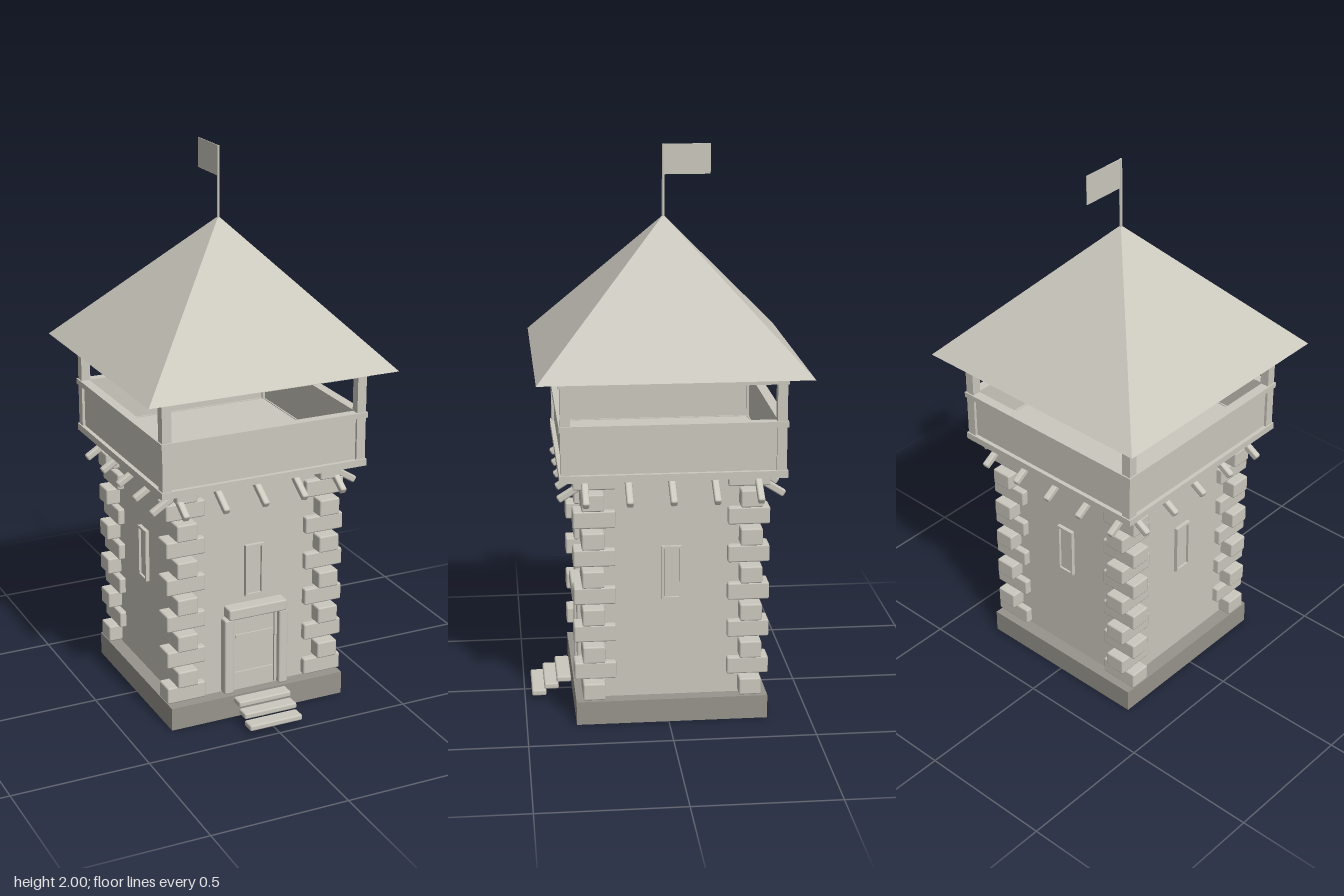
import * as THREE from 'three';
import { RoundedBoxGeometry } from 'three/addons/geometries/RoundedBoxGeometry.js';

export function createModel() {
  const stone = new THREE.MeshStandardMaterial({ color: 0xcbc8be });
  stone.name = 'paleStone';
  const dark = new THREE.MeshStandardMaterial({ color: 0x96948c });
  dark.name = 'darkStone';

  const model = new THREE.Group();
  const tower = new THREE.Group();
  tower.name = 'tower';
  tower.position.z = -0.0125;
  model.add(tower);

  const add = (parent, name, geometry, x, y, z, material = stone) => {
    const mesh = new THREE.Mesh(geometry, material);
    mesh.name = name;
    mesh.position.set(x, y, z);
    parent.add(mesh);
    return mesh;
  };
  const box = (parent, name, w, h, d, x, y, z, material) =>
    add(parent, name, new THREE.BoxGeometry(w, h, d), x, y, z, material);
  const block = (parent, name, w, h, d, x, y, z) =>
    add(parent, name, new RoundedBoxGeometry(w, h, d, 1, 0.006), x, y, z);

  // Plinth and shaft
  box(tower, 'plinth', 0.676, 0.085, 0.676, 0, 0.0475, 0, dark);
  box(tower, 'walls', 0.58, 0.84, 0.58, 0, 0.5, 0);

  // Corner stones, alternately long in x and long in z
  for (let row = 0; row < 12; row++) {
    const alongX = row % 2 === 0;
    const y = 0.127 + row * 0.0693;
    const [w, d] = alongX ? [0.147, 0.078] : [0.078, 0.147];
    const [cx, cz] = alongX ? [0.269, 0.275] : [0.275, 0.269];
    for (const sx of [-1, 1]) for (const sz of [-1, 1]) {
      block(tower, 'cornerStone', w, 0.062, d, sx * cx, y, sz * cz);
    }
  }

  // Each side: window, slanting brackets, parapet and rails
  for (let i = 0; i < 4; i++) {
    const side = new THREE.Group();
    side.name = 'side';
    side.rotation.y = i * Math.PI / 2;
    tower.add(side);

    // Narrow window: surround with a sunken pane
    box(side, 'windowPane', 0.05, 0.18, 0.008, 0, 0.547, 0.292);
    for (const s of [-1, 1]) {
      box(side, 'windowJamb', 0.009, 0.195, 0.016, s * 0.031, 0.547, 0.296);
      box(side, 'windowEdge', 0.07, 0.009, 0.016, 0, 0.547 + s * 0.093, 0.296);
    }

    for (let k = -2; k <= 2; k++) {
      const bracket = block(side, 'bracket', 0.024, 0.025, 0.13, k * 0.15, 0.859, 0.337);
      bracket.rotation.x = 0.56;
    }

    box(side, 'parapet', 0.74, 0.16, 0.014, 0, 1.01, 0.368);
    box(side, 'bottomRail', 0.78, 0.025, 0.035, 0, 0.92, 0.3725);
    box(side, 'handRail', 0.78, 0.02, 0.035, 0, 1.095, 0.3725);
    box(side, 'roofBeam', 0.78, 0.03, 0.035, 0, 1.25, 0.3725);
    box(side, 'cornerPost', 0.034, 0.31, 0.034, 0.368, 1.085, 0.368);
  }
  box(tower, 'platformFloor', 0.76, 0.02, 0.76, 0, 0.92, 0);

  // Door with frame
  const door = new THREE.Group();
  door.name = 'door';
  tower.add(door);
  box(door, 'doorLeaf', 0.18, 0.29, 0.016, 0, 0.235, 0.292);
  for (const y of [0.155, 0.302]) box(door, 'doorBand', 0.15, 0.012, 0.008, 0, y, 0.302);
  for (const s of [-1, 1]) {
    block(door, 'doorPost', 0.035, 0.29, 0.045, s * 0.107, 0.235, 0.301);
    box(door, 'doorStile', 0.01, 0.28, 0.02, s * 0.082, 0.235, 0.298);
  }
  block(door, 'lintel', 0.228, 0.042, 0.056, 0, 0.404, 0.31);

  // Three open steps
  for (let i = 0; i < 3; i++) {
    block(tower, 'step', 0.205, 0.022, 0.052, 0, 0.03 + i * 0.025, 0.4615 - i * 0.045);
  }

  // Pyramid roof
  const roof = new THREE.ConeGeometry(0.465 * Math.SQRT2, 0.49, 4)
    .rotateY(Math.PI / 4).toNonIndexed();
  roof.computeVertexNormals();
  add(tower, 'roof', roof, 0, 1.51, 0);

  // Flag trailing to the back
  add(tower, 'flagPole', new THREE.CylinderGeometry(0.005, 0.005, 0.27, 8), 0, 1.865, 0);
  box(tower, 'flag', 0.003, 0.105, 0.165, 0, 1.9475, -0.0825);

  return model;
}
